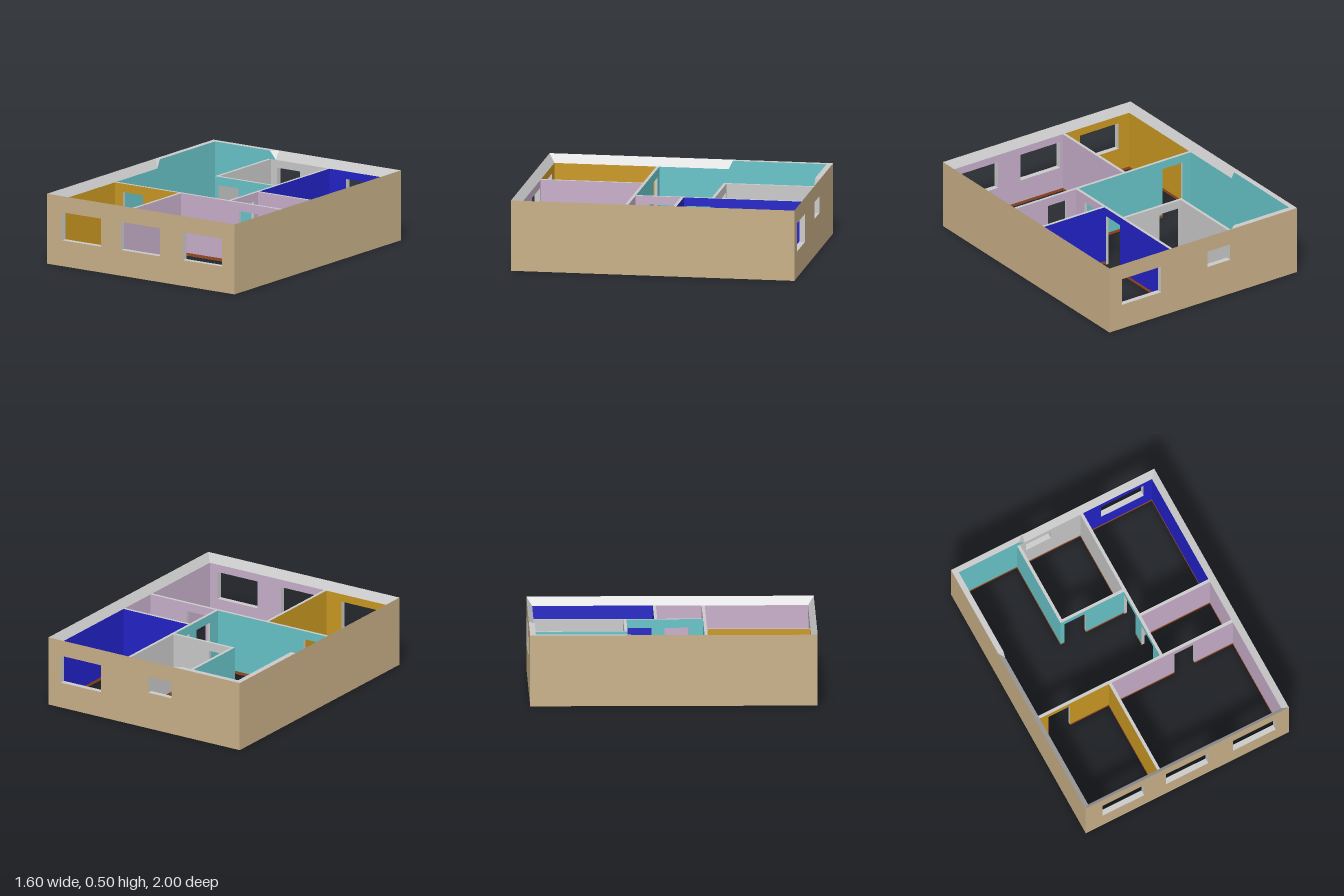
import * as THREE from 'three';

const material = (name, color) => {
  const m = new THREE.MeshStandardMaterial({ color });
  m.name = name;
  return m;
};

export function createModel() {
  const model = new THREE.Group();
  model.name = 'roomLayout';

  const tan = material('tan exterior', 0xc9b088);
  const grey = material('grey plaster', 0xcacaca);
  const teal = material('teal paint', 0x67c4c9);
  const gold = material('gold paint', 0xca9822);
  const lilac = material('lilac paint', 0xc8afcb);
  const blue = material('blue paint', 0x2222c8);
  const brown = material('brown skirting', 0x9a4a22);

  const LOW = 0.44, HIGH = 0.5;       // inner wall height, outer rim height
  const DOOR = 0.38;                  // door head height
  const THIN = 0.022, THICK = 0.04;   // partition and outer wall thickness
  const SKIRT = 0.02;

  // Turn a part made along x into its place along the given axis
  const place = (geo, axis, pos) => {
    if (axis === 'x') return geo.translate(0, 0, pos);
    return geo.rotateY(-Math.PI / 2).translate(pos, 0, 0);
  };

  // Straight wall from a to b; neg and pos are the paints on its two sides
  function wall(name, axis, pos, a, b, neg, pos_, { t = THIN, door, window: win } = {}) {
    const group = new THREE.Group();
    group.name = name;
    const outline = [[a, 0]];
    if (door) outline.push([door[0], 0], [door[0], DOOR], [door[1], DOOR], [door[1], 0]);
    outline.push([b, 0], [b, LOW], [a, LOW]);
    const shape = new THREE.Shape(outline.map(p => new THREE.Vector2(...p)));
    if (win) {
      const [x0, x1, y0, y1] = win;
      shape.holes.push(new THREE.Path(
        [[x0, y0], [x0, y1], [x1, y1], [x1, y0]].map(p => new THREE.Vector2(...p))));
    }
    const geo = new THREE.ExtrudeGeometry(shape, { depth: t, bevelEnabled: false });
    geo.translate(0, 0, -t / 2);
    // One paint for each side, plaster on the edges and reveals
    const [lids, edges] = geo.groups.map(g => ({ ...g }));
    geo.clearGroups();
    geo.addGroup(0, lids.count / 2, 0);
    geo.addGroup(lids.count / 2, lids.count / 2, 1);
    geo.addGroup(edges.start, edges.count, 2);
    const paints = axis === 'x' ? [neg, pos_, grey] : [pos_, neg, grey];
    const body = new THREE.Mesh(place(geo, axis, pos), paints);
    body.name = name + 'Body';
    group.add(body);

    // Skirting plates on the indoor sides, broken at the door
    const runs = door ? [[a, door[0]], [door[1], b]] : [[a, b]];
    for (const side of [-1, 1]) {
      if ((side < 0 ? neg : pos_) === tan) continue;
      for (const [s, e] of runs) {
        const plate = new THREE.BoxGeometry(e - s, SKIRT, 0.003);
        plate.translate((s + e) / 2, SKIRT / 2 + 0.001, 0);
        const mesh = new THREE.Mesh(place(plate, axis, pos + side * t / 2), brown);
        mesh.name = 'skirting';
        group.add(mesh);
      }
    }
    model.add(group);
  }

  // Outer walls, divided where the rooms change
  const t = THICK, X = 0.78, Z = 0.98;
  wall('frontWallLeftRoom', 'x', Z, -0.76, -0.2, gold, tan, { t, window: [-0.67, -0.34, 0.185, 0.385] });
  wall('frontWallRightRoom', 'x', Z, -0.2, 0.27, lilac, tan, { t, window: [-0.17, 0.165, 0.185, 0.385] });
  wall('frontWallEnd', 'x', Z, 0.27, 0.76, lilac, tan, { t, window: [0.36, 0.695, 0.185, 0.385] });
  wall('backWallHall', 'x', -Z, -0.76, -0.29, tan, teal, { t });
  wall('backWallBathroom', 'x', -Z, -0.29, 0.205, tan, grey, { t, window: [-0.23, -0.035, 0.265, 0.385] });
  wall('backWallBedroom', 'x', -Z, 0.205, 0.76, tan, blue, { t, window: [0.36, 0.695, 0.185, 0.385] });
  wall('sideWallHall', 'z', -X, -0.96, 0.23, tan, teal, { t });
  wall('sideWallFrontRoom', 'z', -X, 0.23, 0.96, tan, gold, { t });
  wall('sideWallBedroom', 'z', X, -0.96, -0.11, blue, tan, { t });
  wall('sideWallLilacRooms', 'z', X, -0.11, 0.96, lilac, tan, { t });

  // Corner posts
  for (const sx of [-1, 1]) for (const sz of [-1, 1]) {
    const post = new THREE.Mesh(new THREE.BoxGeometry(t, LOW, t), [tan, tan, grey, grey, tan, tan]);
    post.position.set(sx * X, LOW / 2, sz * Z);
    post.name = 'cornerPost';
    model.add(post);
  }

  // Partitions
  wall('crossWallLeft', 'x', 0.23, -0.76, -0.205, teal, gold, { door: [-0.69, -0.52] });
  wall('crossWallMiddle', 'x', 0.23, -0.205, 0.208, teal, lilac);
  wall('crossWallRight', 'x', 0.23, 0.208, 0.76, lilac, lilac, { door: [0.3, 0.46] });
  wall('frontDivider', 'z', -0.205, 0.23, 0.96, gold, lilac);
  wall('bathroomSideWall', 'z', -0.29, -0.96, -0.3145, teal, grey);
  wall('bathroomFrontWall', 'x', -0.325, -0.3005, 0.208, grey, teal, { door: [-0.27, -0.1] });
  wall('bathroomBedroomWall', 'z', 0.208, -0.96, -0.325, grey, blue);
  wall('bedroomDoorWall', 'z', 0.208, -0.325, -0.11, teal, blue, { door: [-0.31, -0.14] });
  wall('smallRoomDoorWall', 'z', 0.208, -0.11, 0.23, teal, lilac, { door: [-0.05, 0.12] });
  wall('bedroomDivider', 'x', -0.11, 0.208, 0.76, blue, lilac);

  // Rim on the outer walls: slopes inward, flat around the back hall corner
  const rim = [
    [-0.8, 1, LOW], [0.8, 1, LOW], [0.8, -1, LOW], [-0.24, -1, LOW],
    [-0.29, -1, HIGH], [-0.8, -1, HIGH], [-0.8, -0.3, HIGH], [-0.8, -0.27, LOW],
  ];
  const skins = { outer: [], top: [], inner: [] };
  const quad = (list, a, b, c, d) => list.push(...a, ...b, ...c, ...a, ...c, ...d);
  const section = ([x, z, h]) => {
    const ix = THREE.MathUtils.clamp(x, -0.76, 0.76), iz = THREE.MathUtils.clamp(z, -0.96, 0.96);
    return [[x, LOW, z], [x, HIGH, z], [ix, h, iz], [ix, LOW, iz]];
  };
  rim.forEach((station, i) => {
    const next = rim[(i + 1) % rim.length];
    const A = section(station), B = section(next);
    quad(skins.outer, A[0], B[0], B[1], A[1]);
    quad(skins.top, A[1], B[1], B[2], A[2]);
    if (station[2] + next[2] > 2 * LOW) quad(skins.inner, A[2], B[2], B[3], A[3]);
  });
  for (const [key, mat] of [['outer', tan], ['top', grey], ['inner', teal]]) {
    const geo = new THREE.BufferGeometry();
    geo.setAttribute('position', new THREE.Float32BufferAttribute(skins[key], 3));
    geo.computeVertexNormals();
    const mesh = new THREE.Mesh(geo, mat);
    mesh.name = key + 'Rim';
    model.add(mesh);
  }
  return model;
}
